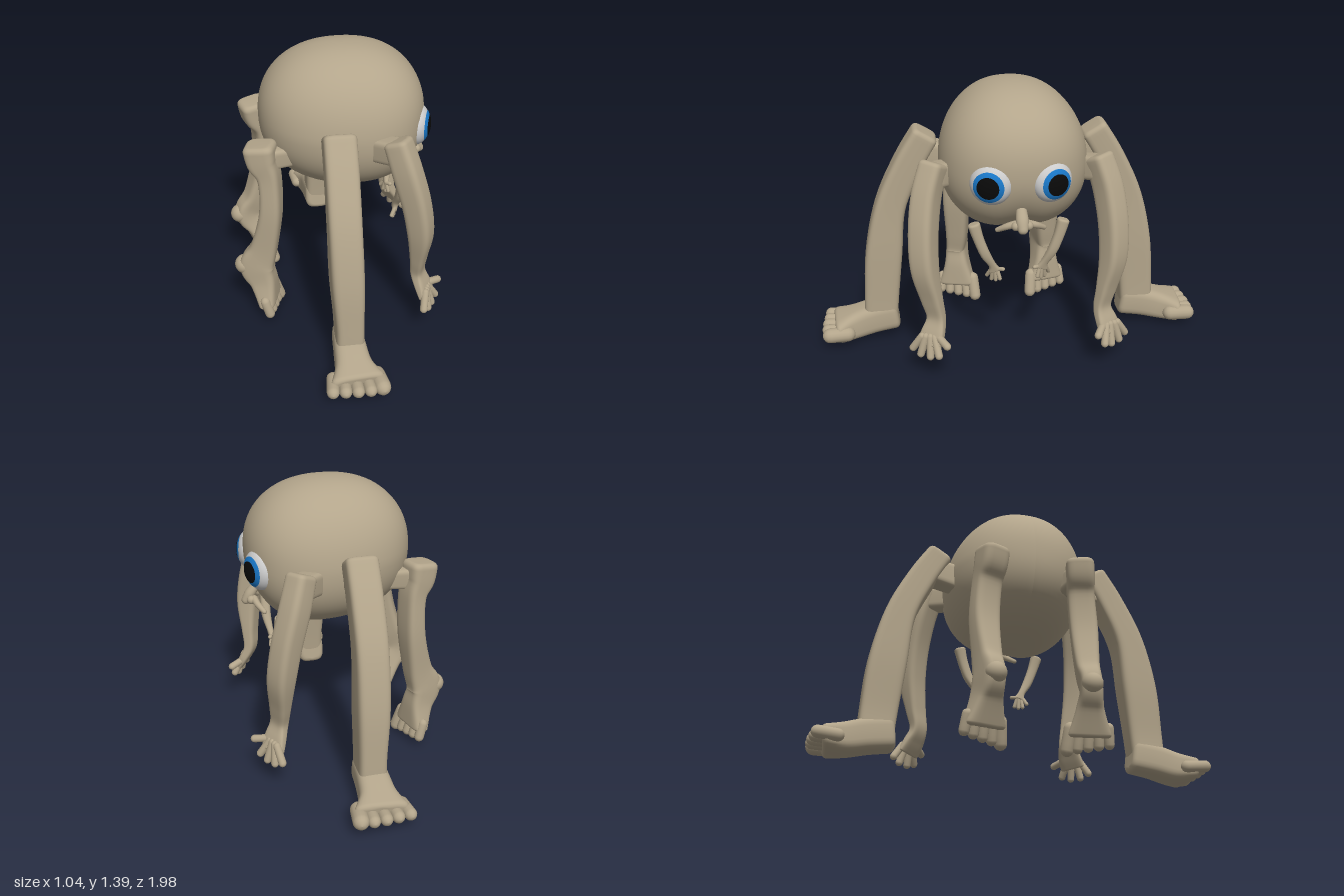
import * as THREE from 'three';

const V = (x, y, z) => new THREE.Vector3(x, y, z);
const mat = (color) => new THREE.MeshStandardMaterial({ color, roughness: 0.8 });
const skin = mat(0xb3a58b), white = mat(0xcccccc), blue = mat(0x1a78c8), black = mat(0x0a0a0a);

// Catmull-Rom on one number
const cr = (a, b, c, d, t) =>
  0.5 * (2 * b + (c - a) * t + (2 * a - 5 * b + 4 * c - d) * t * t + (3 * b - a - 3 * c + d) * t * t * t);

// Loft through sections [x, y, z, halfThickness, halfWidth]; 'side' is the width direction.
// power 2 gives a round section, higher values a rounded box; round sets the end rounding.
function loft(sections, side, { power = 5, round = 0.35, steps = 6, seg = 32 } = {}) {
  const rows = [], n = sections.length, at = (i) => sections[Math.min(n - 1, Math.max(0, i))];
  for (let i = 0; i < n - 1; i++)
    for (let k = 0; k < steps; k++)
      rows.push(at(i).map((_, c) => cr(at(i - 1)[c], at(i)[c], at(i + 1)[c], at(i + 2)[c], k / steps)));
  rows.push(at(n - 1));
  const pos = [], idx = [], C = rows.map((r) => V(r[0], r[1], r[2]));
  let rings = 0;
  const ring = (c, T, t, w) => {
    const S = side.clone().addScaledVector(T, -side.dot(T)).normalize();
    const N = S.clone().cross(T);
    for (let j = 0; j < seg; j++) {
      const a = (j / seg) * Math.PI * 2, f = (v) => Math.sign(v) * Math.abs(v) ** (2 / power);
      const p = c.clone().addScaledVector(N, t * f(Math.cos(a))).addScaledVector(S, w * f(Math.sin(a)));
      pos.push(p.x, p.y, p.z);
    }
    rings++;
  };
  const tangent = (i) => C[Math.min(C.length - 1, i + 1)].clone().sub(C[Math.max(0, i - 1)]).normalize();
  const cap = (i, dir) => {
    const [, , , t, w] = rows[i], T = tangent(i), r = Math.min(t, w) * round;
    for (const k of dir < 0 ? [4, 3, 2, 1] : [1, 2, 3, 4]) {
      const a = (k / 4) * Math.PI / 2 * 0.98, s = r * (1 - Math.cos(a));
      ring(C[i].clone().addScaledVector(T, dir * r * Math.sin(a)), T, t - s, w - s);
    }
  };
  cap(0, -1);
  rows.forEach((r, i) => ring(C[i], tangent(i), r[3], r[4]));
  cap(rows.length - 1, 1);
  for (let i = 0; i < rings - 1; i++)
    for (let j = 0; j < seg; j++) {
      const a = i * seg + j, b = i * seg + ((j + 1) % seg);
      idx.push(a, b, a + seg, b, b + seg, a + seg);
    }
  const last = (rings - 1) * seg;
  for (let j = 1; j < seg - 1; j++) idx.push(0, j + 1, j, last, last + j, last + j + 1);
  const g = new THREE.BufferGeometry();
  g.setAttribute('position', new THREE.Float32BufferAttribute(pos, 3));
  g.setIndex(idx);
  g.computeVertexNormals();
  return g;
}

function add(parent, name, geometry, material = skin) {
  const m = new THREE.Mesh(geometry, material);
  m.name = name;
  parent.add(m);
  return m;
}

// Egg-shaped body with a fuller lower half and a chin groove
function bodyGeometry() {
  const g = new THREE.SphereGeometry(1, 64, 48), p = g.attributes.position;
  for (let i = 0; i < p.count; i++) {
    const d = V(p.getX(i), p.getY(i), p.getZ(i));
    const k = (Math.abs(d.x) ** 2.25 + Math.abs(d.y) ** 2.25 + Math.abs(d.z) ** 2.25) ** (-1 / 2.25);
    d.multiplyScalar(k);
    const low = Math.max(0, -d.y), front = Math.max(0, d.x);
    const z = d.z * 0.36 * (1 - 0.1 * d.y * (d.y > 0 ? 1 : 0.4)) * (1 + 0.05 * d.x);
    const groove = 0.05 * low * front * Math.exp(-((z / 0.09) ** 2));
    p.setXYZ(i, 0.053 + d.x * 0.407 + 0.05 * low * (1 - d.x * d.x), 1.05 + d.y * 0.352 + groove, z);
  }
  g.computeVertexNormals();
  return g;
}

export function createModel() {
  const model = new THREE.Group();
  model.name = 'creature';
  add(model, 'body', bodyGeometry());

  // Nose: drooping bridge, tip and two nostril wings
  const nose = new THREE.Group();
  nose.name = 'nose';
  model.add(nose);
  add(nose, 'noseBridge', loft([[0.41, 0.87, 0, 0.02, 0.025], [0.44, 0.83, 0, 0.026, 0.03],
    [0.462, 0.795, 0, 0.022, 0.024]], V(0, 0, 1), { power: 2, round: 1 }));
  for (const s of [1, -1]) {
    const wing = add(nose, 'nostrilWing', new THREE.SphereGeometry(0.022, 20, 14));
    wing.position.set(0.44, 0.805, 0.03 * s);
    add(nose, 'cheekFold', loft([[0.425, 0.81, 0.03 * s, 0.018, 0.018], [0.415, 0.795, 0.07 * s, 0.016, 0.016],
      [0.39, 0.77, 0.11 * s, 0.012, 0.012]], V(0, 1, 0), { power: 2, round: 1, seg: 16 }));
  }

  for (const s of [1, -1]) {
    const label = s > 0 ? 'left' : 'right';
    const group = (name) => {
      const g = new THREE.Group();
      g.name = label + name;
      model.add(g);
      return g;
    };
    const limb = (parent, name, rows, side, opts) =>
      add(parent, name, loft(rows.map(([x, y, z, t, w]) => [x, y, z * s, t, w]), V(side[0], side[1], side[2] * s).normalize(), opts));
    const digit = (parent, name, a, b, r, side) =>
      limb(parent, name, [[...a, r, r], [...b, r, r]], side, { power: 2, round: 1, seg: 16, steps: 3 });

    // Eye: flattened ball with iris and pupil caps, turned slightly outward
    const eye = group('Eye');
    eye.position.set(0.41, 1.01, 0.142 * s);
    eye.rotation.y = -0.36 * s;
    const layer = (name, angle, grow, material) => {
      const g = new THREE.SphereGeometry(1, 40, 24, 0, Math.PI * 2, 0, angle);
      g.rotateZ(-Math.PI / 2).scale(0.062 * grow, 0.1, 0.1);
      add(eye, name, g, material);
    };
    layer('eyeball', Math.PI, 1, white);
    layer('iris', 0.83, 1.04, blue);
    layer('pupil', 0.56, 1.08, black);

    // Middle leg, reaching out sideways
    const mid = group('MiddleLeg'), X = [1, 0, 0];
    mid.position.x = -0.007 * s;
    limb(mid, 'hip', [[-0.01, 1.0, 0.28, 0.07, 0.055], [-0.01, 1.03, 0.44, 0.065, 0.06]], X);
    limb(mid, 'leg', [[-0.01, 1.115, 0.425, 0.068, 0.078], [-0.01, 0.97, 0.51, 0.072, 0.078],
      [-0.01, 0.755, 0.605, 0.077, 0.078], [-0.005, 0.5, 0.65, 0.093, 0.078],
      [0.003, 0.25, 0.675, 0.089, 0.068], [0.003, 0.1, 0.685, 0.085, 0.07]], X);
    limb(mid, 'foot', [[0.003, 0.14, 0.62, 0.08, 0.072], [0.003, 0.125, 0.72, 0.08, 0.078],
      [0.006, 0.1, 0.82, 0.075, 0.09], [0.012, 0.088, 0.9, 0.062, 0.128]], X, { power: 3.5 });
    for (let i = 0; i < 5; i++) {
      const x = 0.006 + (i - 2) * 0.058, r = i === 4 ? 0.039 : 0.03;
      digit(mid, 'toe', [x * 0.9, 0.085, 0.86], [x, 0.09, 0.995 - r - Math.abs(i - 2.5) * 0.005], r, X);
    }

    // Back leg, standing on its toes with the heel raised behind
    const back = group('BackLeg'), B = [-0.3, 0, 0.95];
    limb(back, 'hip', [[-0.2, 0.92, 0.18, 0.05, 0.05], [-0.34, 0.93, 0.22, 0.055, 0.055]], B);
    limb(back, 'leg', [[-0.365, 0.985, 0.225, 0.075, 0.07], [-0.355, 0.92, 0.23, 0.07, 0.07],
      [-0.325, 0.83, 0.24, 0.052, 0.068], [-0.325, 0.64, 0.25, 0.053, 0.068],
      [-0.365, 0.43, 0.245, 0.066, 0.058], [-0.405, 0.315, 0.245, 0.088, 0.052],
      [-0.375, 0.22, 0.247, 0.066, 0.066], [-0.35, 0.11, 0.25, 0.045, 0.1]], B, { power: 4 });
    const heel = add(back, 'heel', new THREE.SphereGeometry(0.05, 24, 16));
    heel.position.set(-0.468, 0.315, 0.228 * s);
    for (let i = 0; i < 5; i++) {
      const k = (i - 2) * 0.046, r = i === 0 ? 0.031 : 0.025;
      digit(back, 'toe', [-0.35 - 0.3 * k, 0.14, 0.25 + 0.9 * k],
        [-0.325 - 0.35 * k, 0.045 + i * 0.006, 0.25 + k], r, B);
    }

    // Front arm with an open hand
    const arm = group('FrontArm'), A = [-0.55, 0, 0.83];
    limb(arm, 'shoulder', [[0.17, 0.99, 0.3, 0.06, 0.05], [0.26, 1.01, 0.39, 0.06, 0.055]], A);
    limb(arm, 'arm', [[0.265, 1.055, 0.395, 0.06, 0.06], [0.305, 0.92, 0.435, 0.064, 0.062],
      [0.352, 0.75, 0.457, 0.062, 0.062], [0.38, 0.58, 0.457, 0.056, 0.06],
      [0.385, 0.42, 0.43, 0.036, 0.052], [0.388, 0.32, 0.412, 0.028, 0.046],
      [0.412, 0.25, 0.43, 0.024, 0.06], [0.43, 0.2, 0.452, 0.02, 0.065]], A, { power: 4 });
    for (const tip of [[0.4, 0.165, 0.53], [0.43, 0.145, 0.495], [0.458, 0.142, 0.45], [0.485, 0.158, 0.41], [0.505, 0.22, 0.37]])
      digit(arm, 'finger', [0.42 + (tip[0] - 0.42) * 0.25, 0.235, 0.44 + (tip[2] - 0.44) * 0.5], tip, 0.019, A);

    // Tiny arm under the chin
    const tiny = group('TinyArm'), Z = [0, 0, 1];
    limb(tiny, 'arm', [[0.33, 0.77, 0.215, 0.03, 0.03], [0.335, 0.7, 0.195, 0.026, 0.026],
      [0.335, 0.62, 0.165, 0.024, 0.024], [0.325, 0.555, 0.13, 0.017, 0.018],
      [0.32, 0.52, 0.118, 0.014, 0.03]], Z, { power: 2.5, seg: 20 });
    for (const tip of [[0.3, 0.487, 0.152], [0.31, 0.47, 0.132], [0.32, 0.468, 0.112], [0.33, 0.477, 0.093], [0.335, 0.53, 0.078]])
      digit(tiny, 'finger', [0.32, 0.525, 0.118 + (tip[2] - 0.118) * 0.5], tip, 0.01, Z);
  }
  return model;
}
